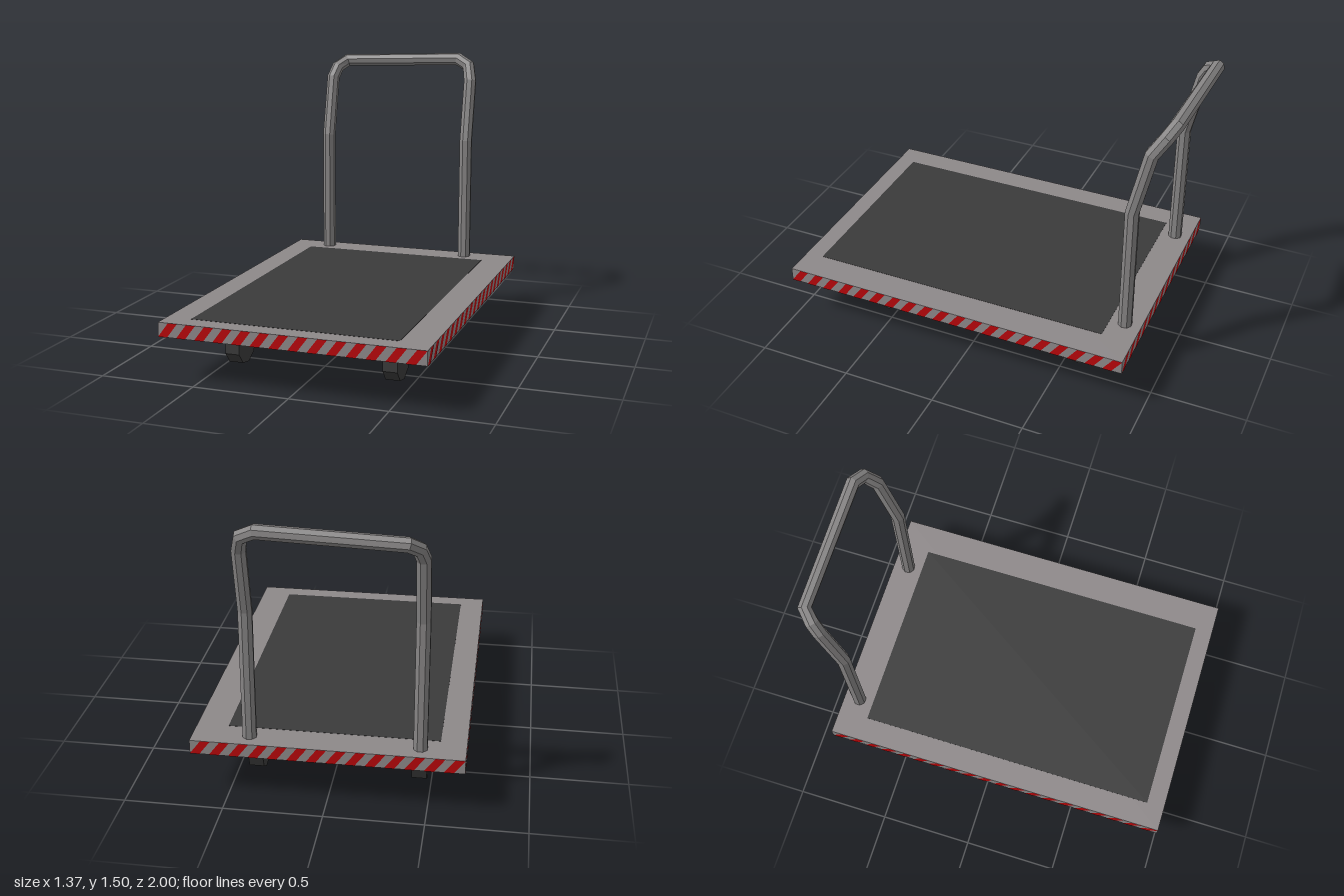
import * as THREE from 'three';
import { mergeGeometries } from 'three/addons/utils/BufferGeometryUtils.js';

const flat = (name, color) => {
  const m = new THREE.MeshStandardMaterial({ color, flatShading: true });
  m.name = name;
  return m;
};

// Path with sharp mitred bends; rings sit exactly on the given points
class BentPath extends THREE.Curve {
  constructor(points, sides) {
    super();
    this.points = points;
    this.sides = sides;
  }
  getPointAt(u) {
    return this.points[Math.round(u * (this.points.length - 1))].clone();
  }
  getTangentAt(u) {
    const p = this.points, n = p.length - 1, i = Math.round(u * n);
    const t = new THREE.Vector3();
    if (i > 0) t.add(p[i].clone().sub(p[i - 1]).normalize());
    if (i < n) t.add(p[i + 1].clone().sub(p[i]).normalize());
    return t.normalize();
  }
  // Turn the rings half a step so that a flat side faces forward
  computeFrenetFrames(segments, closed) {
    const f = super.computeFrenetFrames(segments, closed);
    f.tangents.forEach((t, i) => {
      f.normals[i].applyAxisAngle(t, Math.PI / this.sides);
      f.binormals[i].applyAxisAngle(t, Math.PI / this.sides);
    });
    return f;
  }
}

// Row of slanted stripes along one edge, centred on its own x
function stripeRow(length, height, count) {
  const slant = 0.055, period = (length - slant) / (count - 0.5), w = period / 2;
  const shapes = [];
  for (let i = 0; i < count; i++) {
    const a = -length / 2 + i * period;
    shapes.push(new THREE.Shape([
      new THREE.Vector2(a, -height / 2), new THREE.Vector2(a + w, -height / 2),
      new THREE.Vector2(a + w + slant, height / 2), new THREE.Vector2(a + slant, height / 2),
    ]));
  }
  return new THREE.ShapeGeometry(shapes);
}

export function createModel() {
  const model = new THREE.Group();
  model.name = 'platformTrolley';
  const grey = flat('deckGrey', 0x8d8889);
  const steel = flat('handleGrey', 0x878585);
  const under = flat('undersideGrey', 0x646464);
  const dark = flat('darkRubber', 0x3a3a3a);
  const red = flat('warningRed', 0xb8060a);
  const add = (parent, name, geo, mat, x = 0, y = 0, z = 0) => {
    const m = new THREE.Mesh(geo, mat);
    m.name = name;
    m.position.set(x, y, z);
    parent.add(m);
    return m;
  };

  // Deck with darker underside, and the mat set almost flush in the top
  const W = 1.362, H = 0.073, L = 1.892, deckY = 0.2735, deckZ = 0.0525;
  add(model, 'deck', new THREE.BoxGeometry(W, H, L), [grey, grey, grey, under, grey, grey], 0, deckY, deckZ);
  add(model, 'mat', new THREE.BoxGeometry(1.07, 0.004, 1.63), dark, -0.015, 0.309, 0.087);

  // Dark stains under the deck: x, z, half length, half width, turn
  for (const [x, z, a, b, turn] of [
    [0.4, -0.745, 0.1, 0.055, -0.7], [0.01, 0, 0.21, 0.03, -1.32], [-0.37, 0.93, 0.075, 0.04, -0.6],
  ]) {
    const stain = new THREE.CircleGeometry(1, 16).scale(a, b, 1).rotateX(Math.PI / 2).rotateY(turn);
    add(model, 'undersideStain', stain, dark, x, deckY - H / 2 - 0.0015, z);
  }

  // Warning stripes on all four edges
  const out = 0.0015;
  [0, 1, 2, 3].forEach((k) => {
    const onSide = k % 2 === 1;
    const geo = stripeRow(onSide ? L : W, H, onSide ? 20 : 14);
    geo.translate(0, 0, (onSide ? W : L) / 2 + out).rotateY(k * Math.PI / 2);
    add(model, 'edgeStripes', geo, red, 0, deckY, deckZ);
  });

  // Push handle
  const path = [
    [-0.456, 0.3, -0.808], [-0.456, 1.0, -0.808], [-0.456, 1.34, -0.885], [-0.438, 1.4, -0.918],
    [-0.39, 1.438, -0.966], [0.3, 1.462, -0.966], [0.37, 1.425, -0.94], [0.394, 1.34, -0.885],
    [0.394, 1.0, -0.808], [0.394, 0.3, -0.808],
  ].map((p) => new THREE.Vector3(...p));
  add(model, 'handle', new THREE.TubeGeometry(new BentPath(path, 8), path.length - 1, 0.037, 8), steel);

  // Casters: nine-sided wheel between two tapered fork plates
  const wheelGeo = new THREE.CylinderGeometry(0.1085, 0.1085, 0.076, 9, 1, false, Math.PI).rotateZ(Math.PI / 2);
  const forkShape = new THREE.Shape([
    new THREE.Vector2(-0.027, 0), new THREE.Vector2(0.027, 0),
    new THREE.Vector2(0.064, 0.135), new THREE.Vector2(-0.064, 0.135),
  ]);
  const plates = [-1, 1].map((s) => new THREE.ExtrudeGeometry(forkShape, { depth: 0.003, bevelEnabled: false })
    .translate(0, 0, -0.0015).rotateY(Math.PI / 2).rotateZ(-s * 0.025).translate(s * 0.04, 0, 0));
  const forkGeo = mergeGeometries(plates);
  for (const x of [-0.44, 0.401]) {
    for (const z of [0.57, -0.565]) {
      const caster = new THREE.Group();
      caster.name = 'caster';
      caster.position.set(x, 0.107, z);
      add(caster, 'wheel', wheelGeo, dark);
      add(caster, 'fork', forkGeo, grey);
      model.add(caster);
    }
  }
  return model;
}
